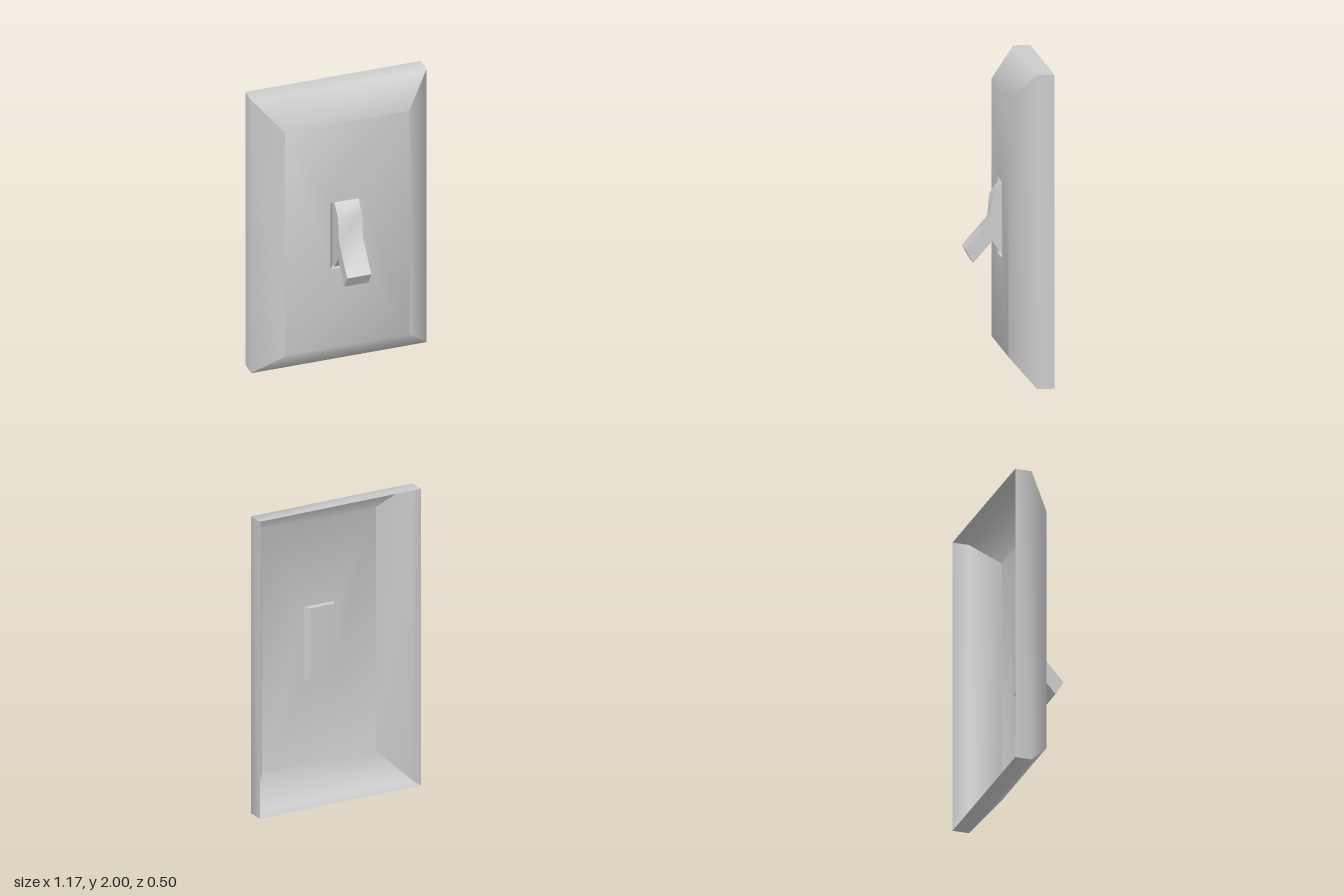
import * as THREE from 'three';
import { toCreasedNormals } from 'three/addons/utils/BufferGeometryUtils.js';

// Rectangular rings joined from the first to the last, the last one filled in
function loftRectangles(rings) {
  const positions = [];
  const index = [];
  for (const [halfWidth, bottom, top, z] of rings) {
    positions.push(-halfWidth, bottom, z, halfWidth, bottom, z, halfWidth, top, z, -halfWidth, top, z);
  }
  for (let r = 0; r < rings.length - 1; r++) {
    for (let j = 0; j < 4; j++) {
      const a = r * 4 + j;
      const b = r * 4 + ((j + 1) % 4);
      index.push(a, b, b + 4, a, b + 4, a + 4);
    }
  }
  const last = (rings.length - 1) * 4;
  index.push(last, last + 1, last + 2, last, last + 2, last + 3);
  const geometry = new THREE.BufferGeometry();
  geometry.setAttribute('position', new THREE.Float32BufferAttribute(positions, 3));
  geometry.setIndex(index);
  return toCreasedNormals(geometry, 0.9);
}

export function createModel() {
  const group = new THREE.Group();
  group.name = 'lightSwitch';
  const material = new THREE.MeshStandardMaterial({ color: 0xcccccc, side: THREE.DoubleSide });

  // Thin wall plate, open at the back: rim, bevel, face and recessed slot
  const plate = new THREE.Mesh(loftRectangles([
    [0.583, 0, 2, -0.25],
    [0.583, 0, 2, -0.14],
    [0.413, 0.18, 1.82, 0.02],
    [0.11, 0.76, 1.245, 0.02],
    [0.085, 0.76, 1.245, -0.02],
  ]), material);
  plate.name = 'wallPlate';
  group.add(plate);

  // Toggle: side profile as (z, y), extruded across the width
  const profile = [
    [-0.018, 0.763], [0, 0.763], [0.02, 0.785], [0.08, 0.865], [0.2, 0.728], [0.253, 0.818],
    [0.092, 1.0], [0.077, 1.15], [0.02, 1.225], [0.004, 1.242], [-0.018, 1.242],
  ].map(([z, y]) => new THREE.Vector2(z, y));
  const toggleGeometry = new THREE.ExtrudeGeometry(new THREE.Shape(profile), { depth: 0.16, bevelEnabled: false });
  toggleGeometry.rotateY(-Math.PI / 2).translate(0.08, 0, 0);
  const toggle = new THREE.Mesh(toCreasedNormals(toggleGeometry, 0.75), material);
  toggle.name = 'toggleLever';
  group.add(toggle);

  return group;
}
